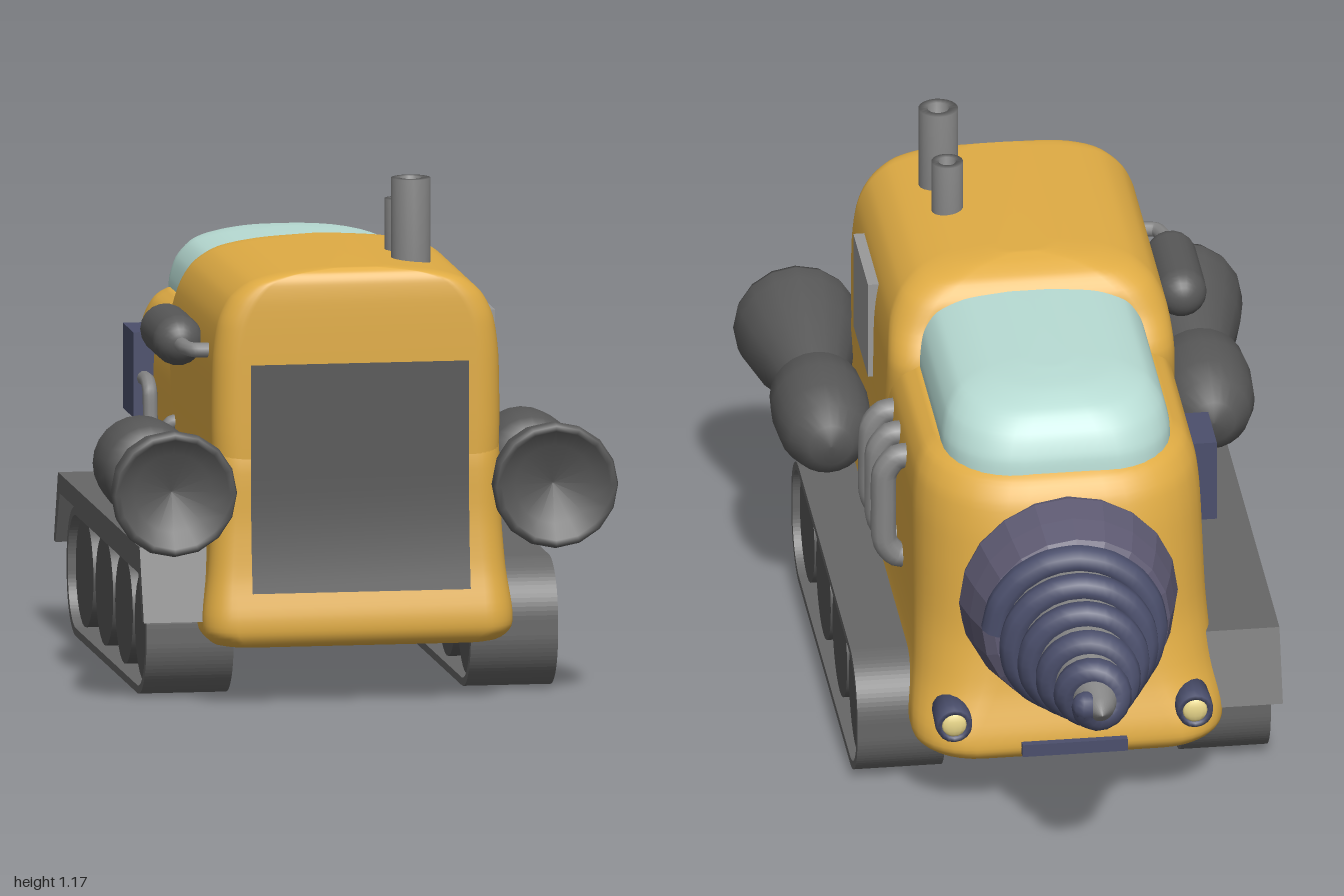
import * as THREE from 'three';

const mat = (color, extra = {}) => new THREE.MeshStandardMaterial({ color, ...extra });
const YELLOW = mat(0xe0ac44), GLASS = mat(0xb8dcd4), DARK = mat(0x585858, { side: THREE.DoubleSide });
const GREY = mat(0x858585, { side: THREE.DoubleSide }), TRACK = mat(0x666666), PLATE = mat(0x999999);
const STEEL = mat(0x5e5a72, { flatShading: true }), BLUE = mat(0x4b4f6c), LENS = mat(0xe8d68a);

// Smooth hull from horizontal rounded-rectangle slices: [y, halfWidth, zMin, zMax, noseRadius, tailRadius]
function hull(rows, steps) {
  const a = new THREE.CatmullRomCurve3(rows.map(r => new THREE.Vector3(r[0], r[1], r[2])), false, 'catmullrom', 0.4);
  const b = new THREE.CatmullRomCurve3(rows.map(r => new THREE.Vector3(r[3], r[4], r[5])), false, 'catmullrom', 0.4);
  const pos = [], idx = [], arc = 8, n = 4 * (arc + 1);
  const ring = (y, w, z0, z1, rn, rt) => {
    for (let c = 0; c < 4; c++) {
      const sx = c === 0 || c === 3 ? 1 : -1, tail = c < 2;
      const r = Math.min(tail ? rt : rn, w, (z1 - z0) / 2);
      for (let i = 0; i <= arc; i++) {
        const t = (c + i / arc) * Math.PI / 2;
        pos.push(sx * (w - r) + r * Math.cos(t), y, (tail ? z1 - r : z0 + r) + r * Math.sin(t));
      }
    }
  };
  for (let s = -1; s <= steps + 1; s++) {
    const t = THREE.MathUtils.clamp(s / steps, 0, 1), p = a.getPoint(t), q = b.getPoint(t);
    if (s < 0 || s > steps) {
      const m = (p.z + q.x) / 2;
      ring(p.x, 0, m, m, 0, 0); // closing cap
    } else ring(p.x, p.y, p.z, q.x, q.y, q.z);
  }
  for (let s = 0; s < steps + 2; s++) for (let i = 0; i < n; i++) {
    const p = s * n + i, q = s * n + (i + 1) % n;
    idx.push(p, p + n, q, q, p + n, q + n);
  }
  const g = new THREE.BufferGeometry();
  g.setAttribute('position', new THREE.Float32BufferAttribute(pos, 3));
  g.setIndex(idx);
  g.computeVertexNormals();
  return g;
}

// Turned shape; profile is [radius, distance along axis]
const turned = (profile, sides = 20) => new THREE.LatheGeometry(profile.map(p => new THREE.Vector2(...p)), sides);
const turnedZ = (profile, sides) => turned(profile, sides).rotateX(Math.PI / 2);
const tube = (pts, r, seg = 32) => new THREE.TubeGeometry(
  new THREE.CatmullRomCurve3(pts.map(p => new THREE.Vector3(...p)), false, 'catmullrom', 0.35), seg, r, 10);

// Shape drawn in (z, y), extruded across x
const across = (shape, width) => new THREE.ExtrudeGeometry(shape, { depth: width, bevelEnabled: false, curveSegments: 10 })
  .translate(0, 0, -width / 2).rotateY(-Math.PI / 2);

function roundRect(path, z0, z1, y0, y1, r) {
  path.moveTo(z0 + r, y0).lineTo(z1 - r, y0).absarc(z1 - r, y0 + r, r, -Math.PI / 2, 0)
    .lineTo(z1, y1 - r).absarc(z1 - r, y1 - r, r, 0, Math.PI / 2)
    .lineTo(z0 + r, y1).absarc(z0 + r, y1 - r, r, Math.PI / 2, Math.PI)
    .lineTo(z0, y0 + r).absarc(z0 + r, y0 + r, r, Math.PI, Math.PI * 1.5);
  return path;
}

export function createModel() {
  const model = new THREE.Group();
  const add = (name, geo, material, x = 0, y = 0, z = 0) => {
    const m = new THREE.Mesh(geo, material);
    m.name = name;
    m.position.set(x, y, z);
    model.add(m);
    return m;
  };

  // Body: flared lower hull, tall cab, glass canopy
  add('hull', hull([
    [0.127, 0.27, -0.42, 0.86, 0.1, 0.06], [0.137, 0.325, -0.485, 0.92, 0.12, 0.07],
    [0.165, 0.352, -0.51, 0.942, 0.13, 0.07], [0.21, 0.354, -0.505, 0.942, 0.14, 0.07],
    [0.30, 0.341, -0.475, 0.92, 0.17, 0.06], [0.42, 0.333, -0.45, 0.906, 0.2, 0.06],
    [0.56, 0.33, -0.435, 0.9, 0.22, 0.06], [0.66, 0.328, -0.42, 0.87, 0.23, 0.06],
    [0.73, 0.32, -0.4, 0.85, 0.23, 0.06], [0.775, 0.3, -0.37, 0.83, 0.22, 0.06],
    [0.80, 0.265, -0.33, 0.8, 0.2, 0.06]], 40), YELLOW);
  add('cab', hull([
    [0.50, 0.325, 0.3, 0.898, 0.06, 0.06], [0.62, 0.33, 0.22, 0.9, 0.06, 0.06],
    [0.78, 0.328, 0.17, 0.9, 0.07, 0.06], [0.87, 0.316, 0.21, 0.899, 0.08, 0.06],
    [0.925, 0.29, 0.23, 0.897, 0.09, 0.06], [0.962, 0.245, 0.26, 0.892, 0.09, 0.05],
    [0.982, 0.175, 0.3, 0.882, 0.08, 0.04], [0.994, 0.06, 0.34, 0.865, 0.05, 0.03]], 32), YELLOW);
  add('canopy', hull([
    [0.77, 0.262, -0.355, 0.25, 0.17, 0.04], [0.82, 0.26, -0.348, 0.25, 0.17, 0.04],
    [0.87, 0.247, -0.325, 0.26, 0.17, 0.04], [0.91, 0.215, -0.285, 0.27, 0.16, 0.04],
    [0.933, 0.15, -0.22, 0.28, 0.13, 0.04], [0.942, 0.05, -0.12, 0.28, 0.05, 0.04]], 24), GLASS);

  // Grille panel bent to the flare of the end wall
  const panel = new THREE.PlaneGeometry(0.5, 0.52, 1, 16).translate(0, 0.52, 0);
  const p = panel.attributes.position;
  for (let i = 0; i < p.count; i++) {
    const low = Math.max(0, 0.5 - p.getY(i)) / 0.25;
    p.setZ(i, 0.912 + 0.026 * low * low);
  }
  panel.computeVertexNormals();
  add('grillePanel', panel, DARK);

  // Drill: collar, core and spiral flight
  add('drillCollar', turnedZ([[0, -0.56], [0.19, -0.56], [0.215, -0.545], [0.235, -0.48], [0.25, -0.41],
    [0.245, -0.39], [0, -0.38]]), STEEL, 0, 0.5);
  add('drillCore', turnedZ([[0, -1], [0.03, -0.965], [0.185, -0.54], [0, -0.53]], 24), GREY, 0, 0.5);
  const flight = [];
  for (let i = 0; i <= 80; i++) {
    const t = i / 80, a = t * Math.PI * 2 * 5, r = 0.185 - 0.155 * t;
    flight.push([r * Math.cos(a), r * Math.sin(a), -0.55 - 0.395 * t]);
  }
  add('drillFlight', tube(flight, 0.034, 200), BLUE, 0, 0.5);
  add('drillFlightEnd', new THREE.SphereGeometry(0.034, 10, 8), BLUE, 0.03, 0.5, -0.945);

  // Paired parts
  for (const s of [1, -1]) {
    // Track belt and wheels
    const belt = roundRect(new THREE.Shape(), -0.338, 0.8, 0, 0.295, 0.13);
    belt.holes.push(roundRect(new THREE.Path(), -0.32, 0.782, 0.018, 0.277, 0.115));
    add('trackBelt', across(belt, 0.2), TRACK, s * 0.372);
    for (const z of [0.655, 0.375, 0.095, -0.187])
      add('trackWheel', new THREE.CylinderGeometry(0.126, 0.126, 0.17, 28).rotateZ(Math.PI / 2), DARK, s * 0.37, 0.15, z);

    // Thruster pod and bell nozzle
    add('thrusterPod', turnedZ([[0, 0.375], [0.05, 0.382], [0.088, 0.42], [0.107, 0.48], [0.112, 0.57],
      [0.106, 0.64], [0.085, 0.675], [0, 0.685]], 24), DARK, s * 0.437, 0.5);
    add('thrusterNozzle', turnedZ([[0.06, 0.655], [0.078, 0.7], [0.1, 0.78], [0.125, 0.86], [0.14, 0.94],
      [0.144, 0.98], [0.138, 1], [0.125, 0.995], [0.09, 0.965], [0, 0.94]], 16), DARK, s * 0.437, 0.5);

    // Headlamp
    add('headlampHousing', turnedZ([[0, -0.515], [0.028, -0.515], [0.03, -0.525], [0.04, -0.525], [0.043, -0.5],
      [0.04, -0.43], [0, -0.42]], 16), BLUE, s * 0.275, 0.245);
    add('headlampLens', new THREE.SphereGeometry(0.029, 12, 8).scale(1, 1, 0.4), LENS, s * 0.275, 0.245, -0.517);
  }
  add('noseBar', new THREE.BoxGeometry(0.24, 0.03, 0.03), BLUE, 0, 0.172, -0.512);

  // Exhaust stacks
  const stack = (r, top) => turned([[r, 0.95], [r, top], [r * 0.55, top], [r * 0.55, top - 0.06], [0, top - 0.06]], 20);
  add('tallExhaust', stack(0.045, 1.172), GREY, 0.148, 0, 0.713);
  add('shortExhaust', stack(0.036, 1.105), GREY, 0.145, 0, 0.58);

  // Left side: access plate and three looped pipes
  add('accessPlate', new THREE.BoxGeometry(0.03, 0.235, 0.25), PLATE, 0.327, 0.747, 0.585);
  for (const z of [0.175, 0.065, -0.045])
    add('sidePipe', tube([[0.3, 0.692, z], [0.345, 0.688, z], [0.372, 0.65, z], [0.374, 0.565, z],
      [0.372, 0.48, z], [0.345, 0.442, z], [0.3, 0.438, z]], 0.029), GREY);

  // Right side: fender, gas bottle, control box and hose
  const fender = new THREE.Shape([[-0.41, 0.19], [-0.385, 0.19], [-0.325, 0.31], [0.79, 0.31], [0.85, 0.19],
    [0.875, 0.19], [0.815, 0.355], [-0.35, 0.355]].map(q => new THREE.Vector2(...q)));
  add('fender', across(fender, 0.17), TRACK, -0.405);
  add('gasBottle', new THREE.CapsuleGeometry(0.058, 0.17, 8, 18).rotateX(Math.PI / 2), DARK, -0.373, 0.8, 0.545);
  add('gasPipe', tube([[-0.373, 0.797, 0.66], [-0.371, 0.797, 0.73], [-0.355, 0.797, 0.768], [-0.3, 0.797, 0.775]], 0.017), GREY);
  add('controlBox', new THREE.BoxGeometry(0.06, 0.195, 0.15), BLUE, -0.345, 0.628, -0.065);
  add('hose', tube([[-0.35, 0.62, 0], [-0.35, 0.62, 0.06], [-0.35, 0.6, 0.09], [-0.35, 0.53, 0.1], [-0.35, 0.505, 0.13],
    [-0.35, 0.505, 0.24], [-0.35, 0.525, 0.29], [-0.34, 0.56, 0.31], [-0.3, 0.57, 0.315]], 0.017, 48), GREY);
  return model;
}
